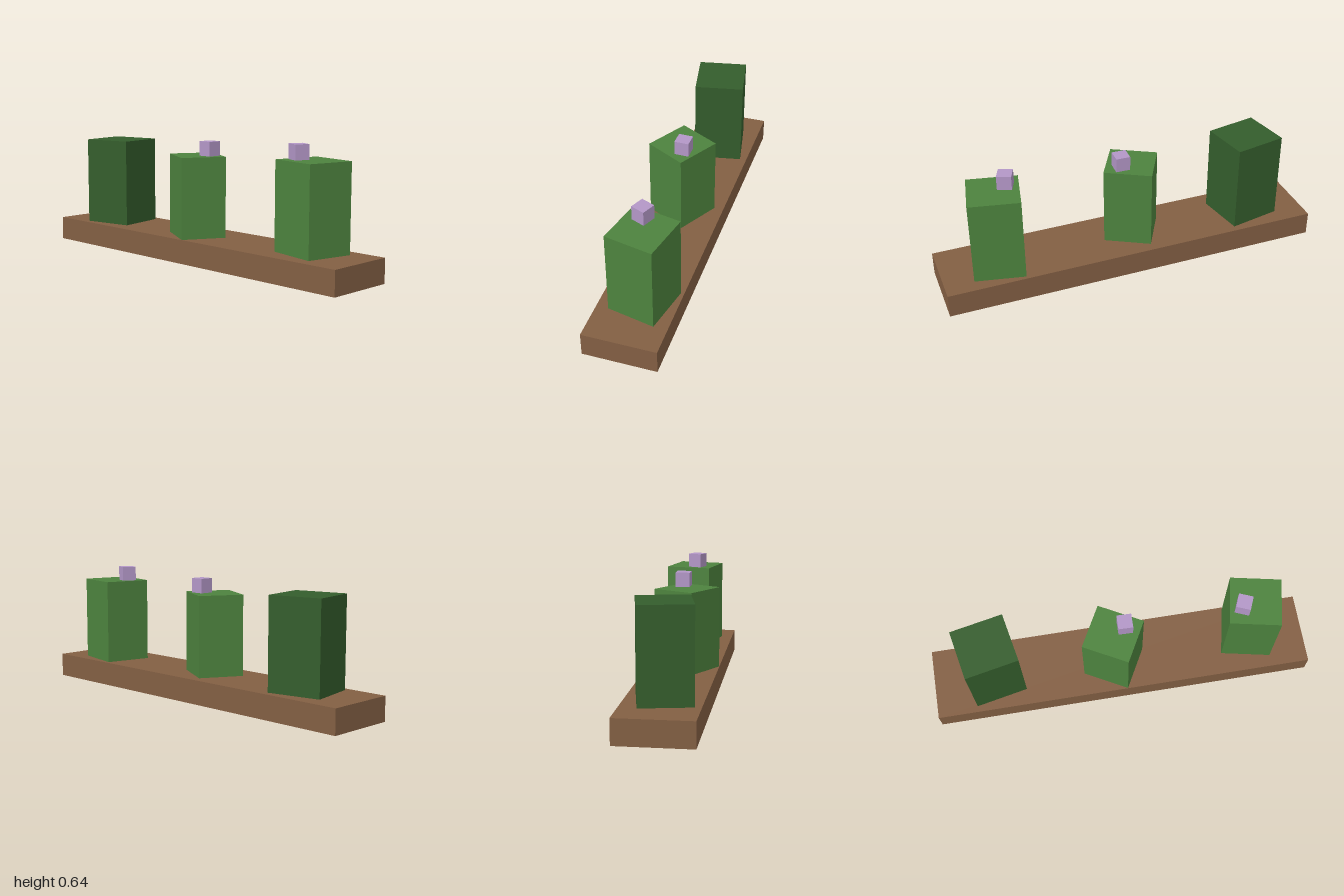
import * as THREE from 'three';

const material = (name, color, side = THREE.FrontSide) =>
  Object.assign(new THREE.MeshStandardMaterial({ color, side }), { name });

// Box standing on y = 0 without its bottom face
function openBox(w, h, d) {
  const geo = new THREE.BoxGeometry(w, h, d).translate(0, h / 2, 0);
  const index = Array.from(geo.index.array);
  index.splice(18, 6);
  geo.setIndex(index);
  geo.clearGroups();
  return geo;
}

export function createModel() {
  const brown = material('planterBrown', 0x835f43, THREE.DoubleSide);
  const green = material('leafGreen', 0x4d833e);
  const darkGreen = material('darkLeafGreen', 0x345d2c);
  const lavender = material('flowerLavender', 0xb397c7);

  const model = new THREE.Group();
  model.name = 'plantedTrough';

  function add(name, geometry, mat, x, y, z, turn = 0) {
    const mesh = new THREE.Mesh(geometry, mat);
    mesh.name = name;
    mesh.position.set(x, y, z);
    mesh.rotation.y = turn;
    model.add(mesh);
  }

  // Trough: thin shell, open underneath
  const rim = 0.125;
  add('trough', openBox(2, rim, 0.375), brown, 0, 0, 0);

  // Blocky plants, each turned a little differently, some with a flower on top
  const plants = [
    { name: 'rightPlant', mat: darkGreen, size: [0.275, 0.465, 0.26], x: -0.679, z: 0.002, turn: 0.194 },
    { name: 'middlePlant', mat: green, size: [0.247, 0.42, 0.234], x: -0.038, z: 0.024, turn: -0.5,
      flower: { x: 0.026, z: -0.003, turn: -0.02 } },
    { name: 'leftPlant', mat: green, size: [0.26, 0.445, 0.249], x: 0.697, z: -0.022, turn: -0.205,
      flower: { x: 0.627, z: 0, turn: -0.4 } },
  ];
  for (const { name, mat, size, x, z, turn, flower } of plants) {
    add(name, openBox(...size), mat, x, rim, z, turn);
    if (flower) {
      add(name + 'Flower', openBox(0.074, 0.075, 0.074), lavender,
        flower.x, rim + size[1], flower.z, flower.turn);
    }
  }
  return model;
}
